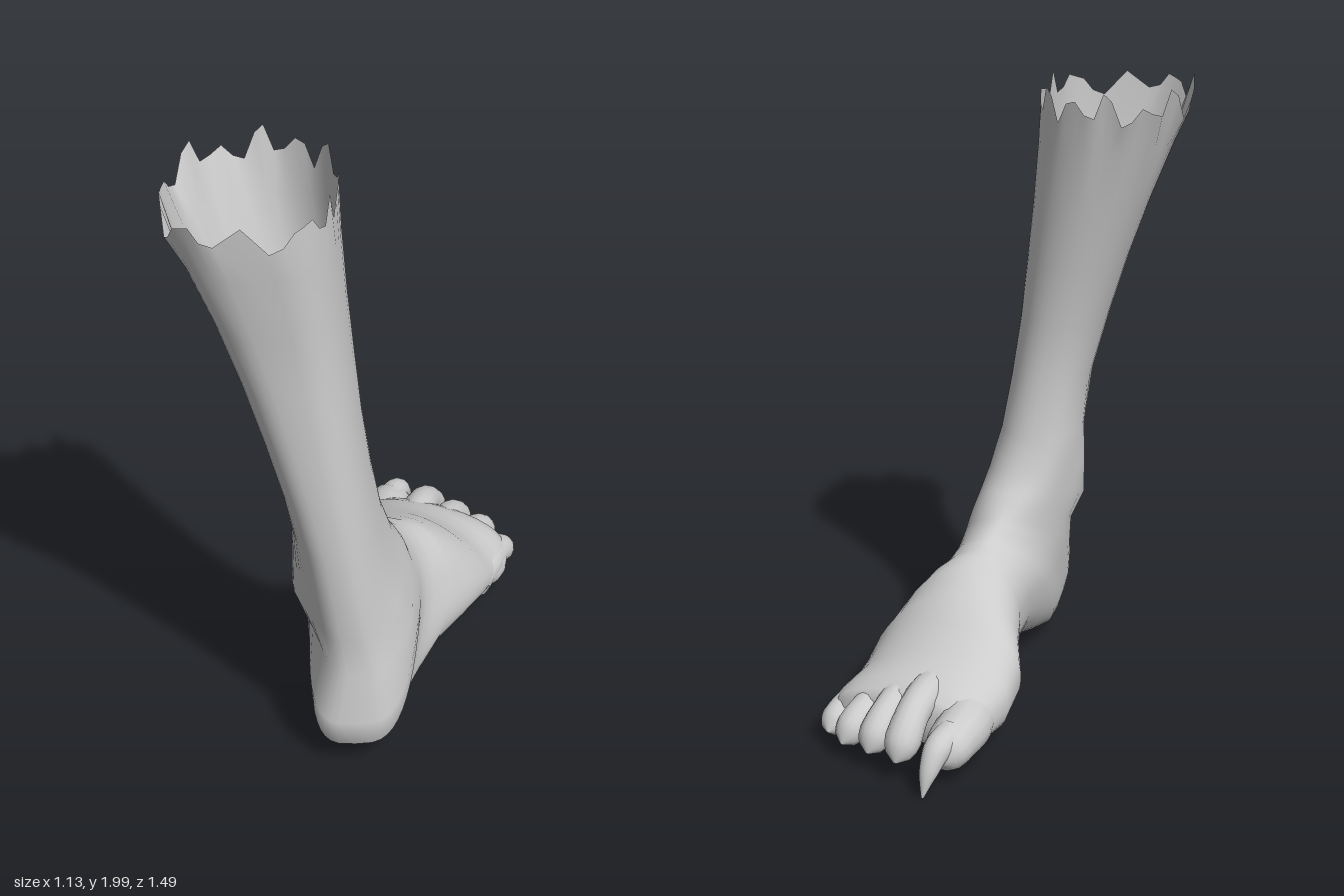
import * as THREE from 'three';

const SEG = 45;
const skin = new THREE.MeshStandardMaterial({ color: 0xcccccc, side: THREE.DoubleSide });

// Joins closed rings of points into one smooth skin, with an optional cap at the end
function loft(name, rings, cap) {
  const n = rings[0].length;
  const pos = rings.flat().flatMap(p => [p.x, p.y, p.z]);
  const idx = [];
  for (let i = 0; i < rings.length - 1; i++) {
    for (let j = 0; j < n; j++) {
      const k = (j + 1) % n;
      const a = i * n + j, d = i * n + k, b = a + n, c = d + n;
      idx.push(a, b, c, a, c, d);
    }
  }
  if (cap) {
    const last = rings[rings.length - 1];
    const mid = last.reduce((s, p) => s.add(p), new THREE.Vector3()).divideScalar(n);
    pos.push(mid.x, mid.y, mid.z);
    const base = (rings.length - 1) * n;
    for (let j = 0; j < n; j++) idx.push(base + j, rings.length * n, base + (j + 1) % n);
  }
  const geo = new THREE.BufferGeometry();
  geo.setAttribute('position', new THREE.Float32BufferAttribute(pos, 3));
  geo.setIndex(idx);
  geo.computeVertexNormals();
  const mesh = new THREE.Mesh(geo, skin);
  mesh.name = name;
  return mesh;
}

// Shin slices: height, back z, front z, centre x, half width, bluntness of the calf
const shin = [
  [1.93, 0.745, 0.14, -0.33, 0.245, 0.6],
  [1.8, 0.735, 0.17, -0.30, 0.222, 0.62],
  [1.6, 0.70, 0.205, -0.253, 0.19, 0.65],
  [1.4, 0.69, 0.24, -0.208, 0.165, 0.7],
  [1.2, 0.685, 0.265, -0.167, 0.145, 0.75],
  [1.0, 0.68, 0.275, -0.125, 0.132, 0.8],
].map(([y, zb, zf, x, w, e]) => [y, zb, x - 0.01, w, y, zf, x + 0.035, w, 0, e]);

// Slices that fan round the heel: back y, z, centre x, half width; same for the front; bluntness
const heel = [
  [0.82, 0.675, -0.10, 0.12, 0.82, 0.25, -0.07, 0.15, 0.8],
  [0.66, 0.667, -0.075, 0.12, 0.70, 0.215, -0.03, 0.155, 0.8],
  [0.50, 0.655, -0.05, 0.12, 0.65, 0.18, 0, 0.16, 0.75],
  [0.36, 0.65, -0.025, 0.13, 0.61, 0.15, 0.02, 0.165, 0.7],
  [0.20, 0.69, -0.035, 0.168, 0.58, 0.125, 0.04, 0.165, 0.58],
  [0.11, 0.68, -0.035, 0.165, 0.56, 0.10, 0.055, 0.17, 0.57],
  [0.065, 0.63, -0.03, 0.155, 0.55, 0.085, 0.065, 0.17, 0.57],
  [0.04, 0.55, -0.02, 0.15, 0.535, 0.07, 0.075, 0.17, 0.57],
  [0.035, 0.47, 0, 0.155, 0.525, 0.05, 0.085, 0.17, 0.58],
  [0.06, 0.35, 0.055, 0.165, 0.51, 0.02, 0.09, 0.17, 0.6],
  [0.095, 0.22, 0.12, 0.185, 0.49, 0, 0.11, 0.17, 0.7],
].map(([...r]) => [...r.slice(0, 8), 0, r[8]]);

// Upright slices through the arch and the ball of the foot; the last number is the slant
const ball = [
  [0.085, 0.05, 0.20, 0.235, 0.475, -0.03, 0.12, 0.16, 0.05],
  [0.07, -0.10, 0.24, 0.28, 0.42, -0.12, 0.13, 0.175, 0.15],
  [0.045, -0.20, 0.243, 0.30, 0.36, -0.21, 0.13, 0.195, 0.3],
  [0.015, -0.30, 0.272, 0.30, 0.305, -0.30, 0.17, 0.20, 0.4],
  [0.015, -0.37, 0.30, 0.29, 0.28, -0.37, 0.21, 0.20, 0.45],
  [0.035, -0.43, 0.32, 0.27, 0.25, -0.43, 0.25, 0.20, 0.45],
  [0.06, -0.48, 0.32, 0.25, 0.22, -0.48, 0.27, 0.20, 0.45],
  [0.085, -0.50, 0.32, 0.21, 0.19, -0.50, 0.28, 0.17, 0.45],
].map(r => [...r, 0.75]);

const power = (v, e) => Math.sign(v) * Math.abs(v) ** e;
const bump = (y, z, y0, z0, r) => Math.exp(-((y - y0) ** 2 + (z - z0) ** 2) / (r * r));

// The blunter a slice is at the back, the sharper its front ridge
function slice([by, bz, bx, bw, fy, fz, fx, fw, slant, blunt]) {
  return Array.from({ length: SEG }, (_, j) => {
    const a = j / SEG * Math.PI * 2;
    const t = 0.5 - 0.5 * power(Math.cos(a), 0.85);
    const side = power(Math.sin(a), t < 0.5 ? blunt : 1.7 - blunt);
    const mix = THREE.MathUtils.lerp;
    const y = mix(by, fy, t);
    let z = mix(bz, fz, t);
    let x = mix(bx, fx, t) + mix(bw, fw, t) * side;
    // Ankle bones
    if (side < 0) x += 0.06 * side * bump(y, z, 0.58, 0.44, 0.13);
    else x += 0.025 * side * bump(y, z, 0.47, 0.5, 0.1);
    z += slant * (x - 0.25);
    return new THREE.Vector3(x, y, z);
  });
}

// Torn upper edge: uneven teeth
function tornEdge(ring) {
  const teeth = [0.035, -0.03, 0.02, -0.01, 0.06, -0.045, 0.01, 0.03, -0.02];
  return ring.map((p, j) => p.clone().setY(1.935 + teeth[(j * 5 + Math.floor(j / 9)) % 9]));
}

// Tapered limb with a round end, running through the given points
function digit(name, points, radii, round = true) {
  const path = new THREE.CatmullRomCurve3(points.map(p => new THREE.Vector3(...p)));
  const steps = 16, sides = 14, rings = [];
  for (let i = 0; i <= steps; i++) {
    const u = i / steps;
    const f = u * (radii.length - 1);
    const k = Math.min(Math.floor(f), radii.length - 2);
    let r = THREE.MathUtils.lerp(radii[k], radii[k + 1], f - k);
    if (round && u > 0.8) r *= Math.sqrt(Math.max(0.01, 1 - ((u - 0.8) / 0.2) ** 2));
    const dir = path.getTangentAt(u);
    const right = new THREE.Vector3().crossVectors(dir, new THREE.Vector3(0, 1, 0)).normalize();
    const up = new THREE.Vector3().crossVectors(right, dir);
    const c = path.getPointAt(u);
    rings.push(Array.from({ length: sides }, (_, j) => {
      const a = j / sides * Math.PI * 2;
      return c.clone().addScaledVector(right, r * Math.cos(a)).addScaledVector(up, r * Math.sin(a));
    }));
  }
  return loft(name, rings, true);
}

export function createModel() {
  const model = new THREE.Group();
  model.name = 'foot';

  const rings = [...shin, ...heel, ...ball].map(slice);
  rings[0] = tornEdge(rings[0]);
  model.add(loft('legAndFoot', rings, true));

  // Big toe with its long curved nail
  model.add(digit('bigToe',
    [[0.10, 0.14, -0.32], [0.10, 0.135, -0.5], [0.13, 0.125, -0.6], [0.16, 0.10, -0.69]],
    [0.10, 0.09, 0.08, 0.065]));
  model.add(digit('bigToeNail',
    [[0.13, 0.155, -0.6], [0.165, 0.14, -0.67], [0.19, 0.08, -0.715], [0.205, 0.01, -0.742]],
    [0.05, 0.045, 0.03, 0.004], false));

  // Smaller toes: base, knuckle, tip, thickness
  const toes = [
    [[0.18, 0.225, -0.3], [0.255, 0.19, -0.53], [0.3, 0.075, -0.65], 0.055],
    [[0.26, 0.195, -0.26], [0.345, 0.16, -0.48], [0.395, 0.07, -0.585], 0.053],
    [[0.33, 0.16, -0.2], [0.425, 0.135, -0.42], [0.485, 0.065, -0.52], 0.052],
    [[0.41, 0.12, -0.12], [0.5, 0.1, -0.33], [0.542, 0.06, -0.435], 0.048],
  ];
  toes.forEach(([base, knuckle, tip, r], i) => {
    const pad = tip.map((v, k) => v + (knuckle[k] - v) * 0.35);
    model.add(digit('toe' + (i + 2), [base, knuckle, pad, tip], [r, r, r * 1.05, r * 0.95, r * 1.05, r]));
  });
  return model;
}
